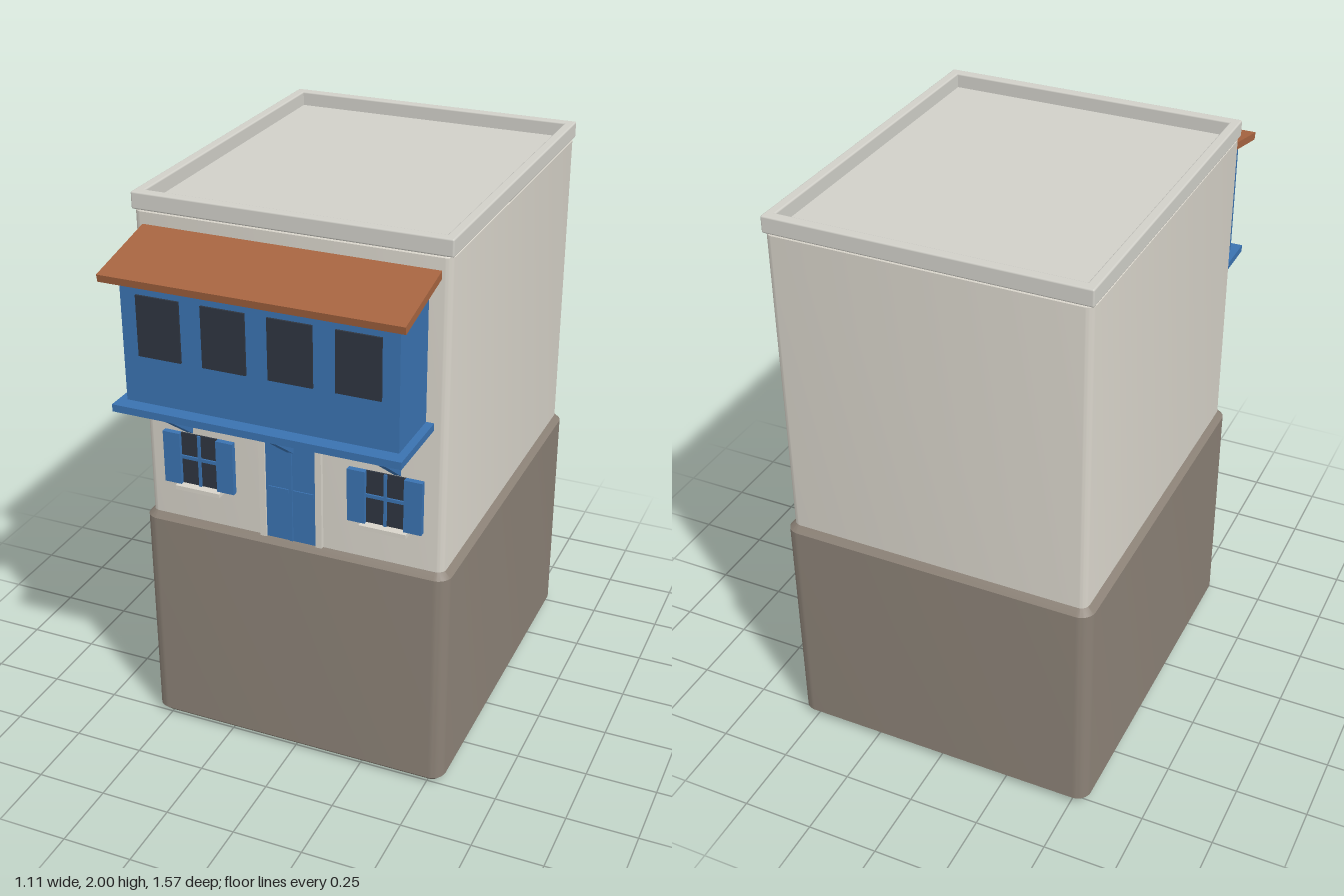
import * as THREE from 'three';
import { toCreasedNormals } from 'three/addons/utils/BufferGeometryUtils.js';
import { RoundedBoxGeometry } from 'three/addons/geometries/RoundedBoxGeometry.js';

const material = (name, color) => {
  const m = new THREE.MeshStandardMaterial({ color });
  m.name = name;
  return m;
};

// Upright block with rounded corners and chamfered top and bottom rims
function roundedBlock(width, depth, y0, y1, radius, bevel) {
  const x = width / 2 - bevel, z = depth / 2 - bevel, r = radius - bevel;
  const s = new THREE.Shape();
  s.moveTo(-x + r, -z);
  s.lineTo(x - r, -z);
  s.absarc(x - r, -z + r, r, -Math.PI / 2, 0);
  s.lineTo(x, z - r);
  s.absarc(x - r, z - r, r, 0, Math.PI / 2);
  s.lineTo(-x + r, z);
  s.absarc(-x + r, z - r, r, Math.PI / 2, Math.PI);
  s.lineTo(-x, -z + r);
  s.absarc(-x + r, -z + r, r, Math.PI, Math.PI * 1.5);
  const geometry = new THREE.ExtrudeGeometry(s, {
    depth: y1 - y0 - 2 * bevel, curveSegments: 5,
    bevelEnabled: true, bevelSize: bevel, bevelThickness: bevel, bevelSegments: 1,
  });
  geometry.rotateX(-Math.PI / 2).translate(0, y0 + bevel, 0);
  return toCreasedNormals(geometry, 0.6);
}

export function createModel() {
  const stone = material('stone', 0x8b8176);
  const plaster = material('plaster', 0xd8d4ca);
  const roofing = material('roofing', 0xd0cfc8);
  const blue = material('blue paint', 0x3a72b0);
  const tile = material('terracotta', 0xa66440);
  const glass = material('dark glass', 0x2e3540);

  const model = new THREE.Group();
  model.name = 'house';
  const add = (name, geometry, mat, parent = model) => {
    const mesh = new THREE.Mesh(geometry, mat);
    mesh.name = name;
    parent.add(mesh);
    return mesh;
  };
  // Box given by its limits on each axis
  const box = (name, mat, [x0, x1], [y0, y1], [z0, z1], parent) => {
    const mesh = add(name, new THREE.BoxGeometry(x1 - x0, y1 - y0, z1 - z0), mat, parent);
    mesh.position.set((x0 + x1) / 2, (y0 + y1) / 2, (z0 + z1) / 2);
    return mesh;
  };
  const group = (name, x = 0) => {
    const g = new THREE.Group();
    g.name = name;
    g.position.x = x;
    model.add(g);
    return g;
  };

  const centreZ = -0.135, wall = 0.495;

  // Stone base and plastered walls
  add('base', roundedBlock(1.112, 1.3, 0, 0.857, 0.05, 0.026), stone).position.z = centreZ;
  add('walls', roundedBlock(1.07, 1.26, 0.845, 1.945, 0.03, 0.008), plaster).position.z = centreZ;

  // Flat roof inside a low parapet
  box('flatRoof', roofing, [-0.51, 0.51], [1.935, 1.95], [-0.745, 0.47]);
  const parapet = group('parapet');
  for (const [name, w, d, x, z] of [
    ['parapetFront', 1.076, 0.036, 0, 0.48],
    ['parapetBack', 1.076, 0.036, 0, -0.75],
    ['parapetLeft', 0.034, 1.265, 0.521, centreZ],
    ['parapetRight', 0.034, 1.265, -0.521, centreZ],
  ]) {
    add(name, new RoundedBoxGeometry(w, 0.058, d, 2, 0.006), roofing, parapet).position.set(x, 1.971, z);
  }

  // Enclosed balcony with its floor slab and four windows
  const balcony = group('balcony');
  box('balconyRoom', blue, [-0.463, 0.463], [1.38, 1.825], [wall - 0.01, 0.72], balcony);
  box('balconyFloor', blue, [-0.49, 0.49], [1.366, 1.391], [wall - 0.01, 0.77], balcony);
  for (const x of [-0.333, -0.111, 0.111, 0.333]) {
    box('balconyWindow', glass, [x - 0.074, x + 0.074], [1.555, 1.76], [0.719, 0.727], balcony);
  }

  // Sloping tiled awning
  const awning = add('awning', new THREE.BoxGeometry(1.004, 0.026, 0.302), tile, balcony);
  awning.position.set(0, 1.853, 0.635);
  awning.rotation.x = 0.215;

  // Diagonal struts under the balcony
  for (const x of [-0.371, 0, 0.371]) {
    const strut = add('strut', new THREE.BoxGeometry(0.025, 0.025, 0.3), blue, balcony);
    strut.position.set(x, 1.28, 0.605);
    strut.rotation.x = -0.645;
  }

  // Door with plaster surround, a centre strip and cross rails
  const door = group('door');
  for (const s of [-1, 1]) {
    box('doorJamb', plaster, [s * 0.101 - 0.011, s * 0.101 + 0.011], [0.855, 1.255], [wall - 0.01, 0.51], door);
  }
  box('doorLintel', plaster, [-0.09, 0.09], [1.232, 1.255], [wall - 0.01, 0.51], door);
  box('doorLeaf', blue, [-0.09, 0.09], [0.855, 1.232], [wall - 0.01, 0.502], door);
  box('doorStrip', blue, [-0.006, 0.006], [0.857, 1.23], [0.5, 0.508], door);
  for (const s of [-1, 1]) {
    box('doorRail', blue, [s * 0.045 - 0.036, s * 0.045 + 0.036], [1.035, 1.05], [0.5, 0.506], door);
  }

  // Ground-floor windows with bars, shutters and sill
  for (const side of [-1, 1]) {
    const w = group(side > 0 ? 'leftWindow' : 'rightWindow', side * 0.334);
    box('pane', glass, [-0.068, 0.068], [0.99, 1.18], [wall - 0.01, 0.501], w);
    box('uprightBar', blue, [-0.005, 0.005], [0.99, 1.18], [0.5, 0.507], w);
    box('crossBar', blue, [-0.068, 0.068], [1.085, 1.097], [0.5, 0.507], w);
    for (const s of [-1, 1]) {
      box('shutter', blue, [s * 0.098 - 0.031, s * 0.098 + 0.031], [0.99, 1.18], [wall - 0.01, 0.515], w);
    }
    box('sill', plaster, [-0.082, 0.082], [0.975, 0.99], [wall - 0.01, 0.53], w);
  }

  return model;
}
